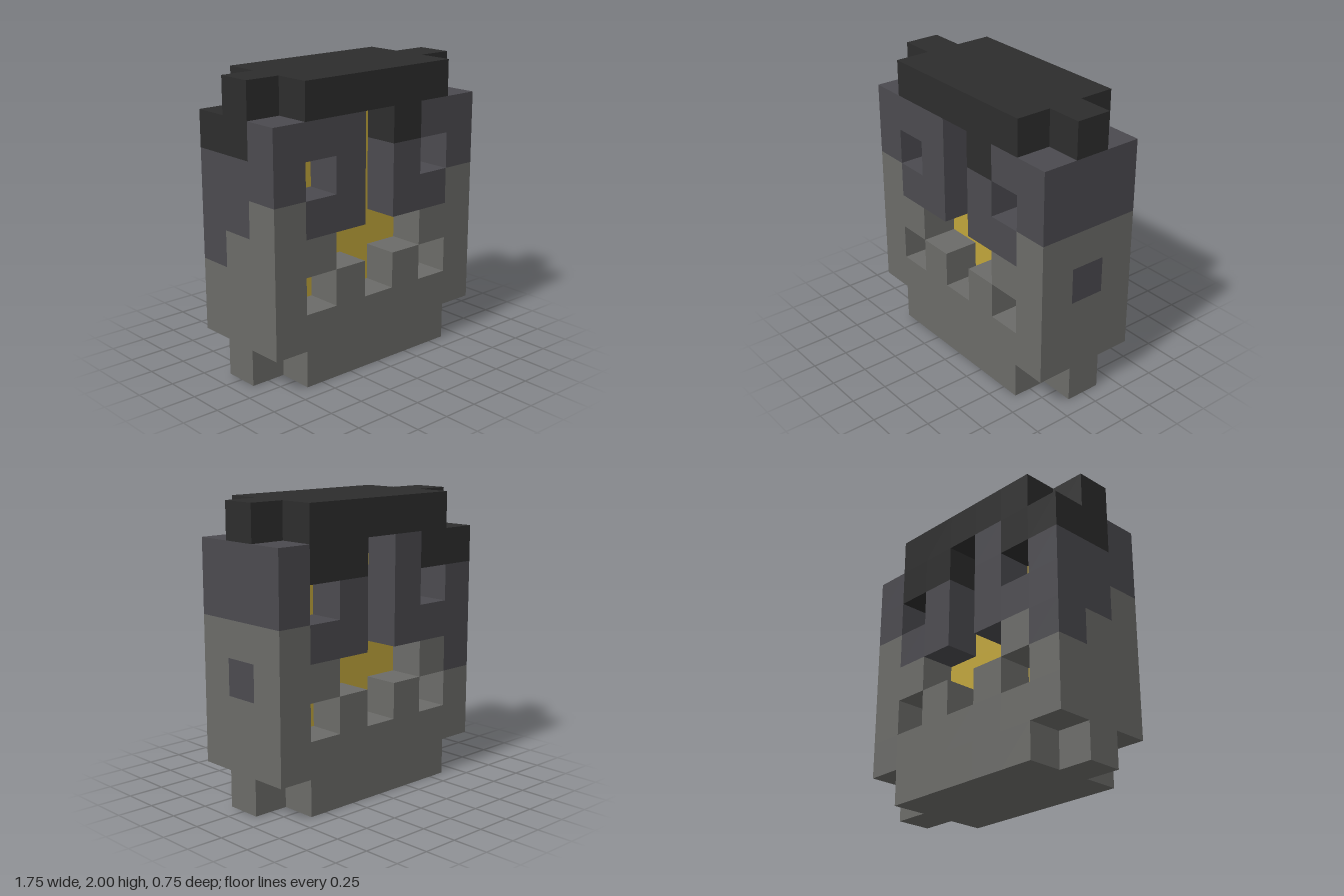
import * as THREE from 'three';
import { mergeGeometries } from 'three/addons/utils/BufferGeometryUtils.js';

const S = 0.25; // edge of one block

// Block layers, rows from top to bottom, columns from -x to +x.
// K cap, S slate, G stone, Y gold core, space = open
const FRONT = [
  ' KKKKK ',
  'SSS KSS',
  'S S S S',
  'GSS SSG',
  'GG   GG',
  'G G G G',
  'GGGGGGG',
  ' GGGGG ',
];
const CORE = [
  'KKKKKKK',
  'KYYYYYS',
  'SYYYYYS',
  'SYYYYYG',
  'GYYYYYS',
  'GYYYYYG',
  'GGGGGGG',
  'GGGGGGG',
];
const BACK = [
  ' KKKKK ',
  'KKS KKS',
  'S S S S',
  'SSS SSG',
  'SG   GG',
  'G G G G',
  'GGGGGGG',
  ' GGGGG ',
];
const LAYERS = [BACK, CORE, FRONT];

const PARTS = {
  K: ['darkCap', 'charcoal', 0x2d2d2d],
  S: ['slateBlocks', 'slate', 0x4b4a4f],
  G: ['stoneBlocks', 'stone', 0x6b6b68],
  Y: ['goldCore', 'gold', 0xc0a53b],
};

// Outward directions with the turn that faces a plane that way
const SIDES = [
  [1, 0, 0, 0, Math.PI / 2],
  [-1, 0, 0, 0, -Math.PI / 2],
  [0, 1, 0, -Math.PI / 2, 0],
  [0, -1, 0, Math.PI / 2, 0],
  [0, 0, 1, 0, 0],
  [0, 0, -1, 0, Math.PI],
];

// Block letter at column x, height y and layer z, or a space outside
const blockAt = (x, y, z) => LAYERS[z]?.[7 - y]?.[x] ?? ' ';

// All exposed faces of the blocks with one letter
function blockSurface(letter) {
  const faces = [];
  for (let z = 0; z < 3; z++)
    for (let y = 0; y < 8; y++)
      for (let x = 0; x < 7; x++) {
        if (blockAt(x, y, z) !== letter) continue;
        for (const [dx, dy, dz, rx, ry] of SIDES) {
          if (blockAt(x + dx, y + dy, z + dz) !== ' ') continue;
          const face = new THREE.PlaneGeometry(S, S).rotateX(rx).rotateY(ry);
          face.translate(
            (x - 3 + dx / 2) * S,
            (y + 0.5 + dy / 2) * S,
            (z - 1 + dz / 2) * S
          );
          faces.push(face);
        }
      }
  return mergeGeometries(faces);
}

export function createModel() {
  const model = new THREE.Group();
  model.name = 'blockTotem';
  for (const [letter, [part, colourName, color]] of Object.entries(PARTS)) {
    const material = new THREE.MeshStandardMaterial({ color });
    material.name = colourName;
    const mesh = new THREE.Mesh(blockSurface(letter), material);
    mesh.name = part;
    model.add(mesh);
  }
  return model;
}
